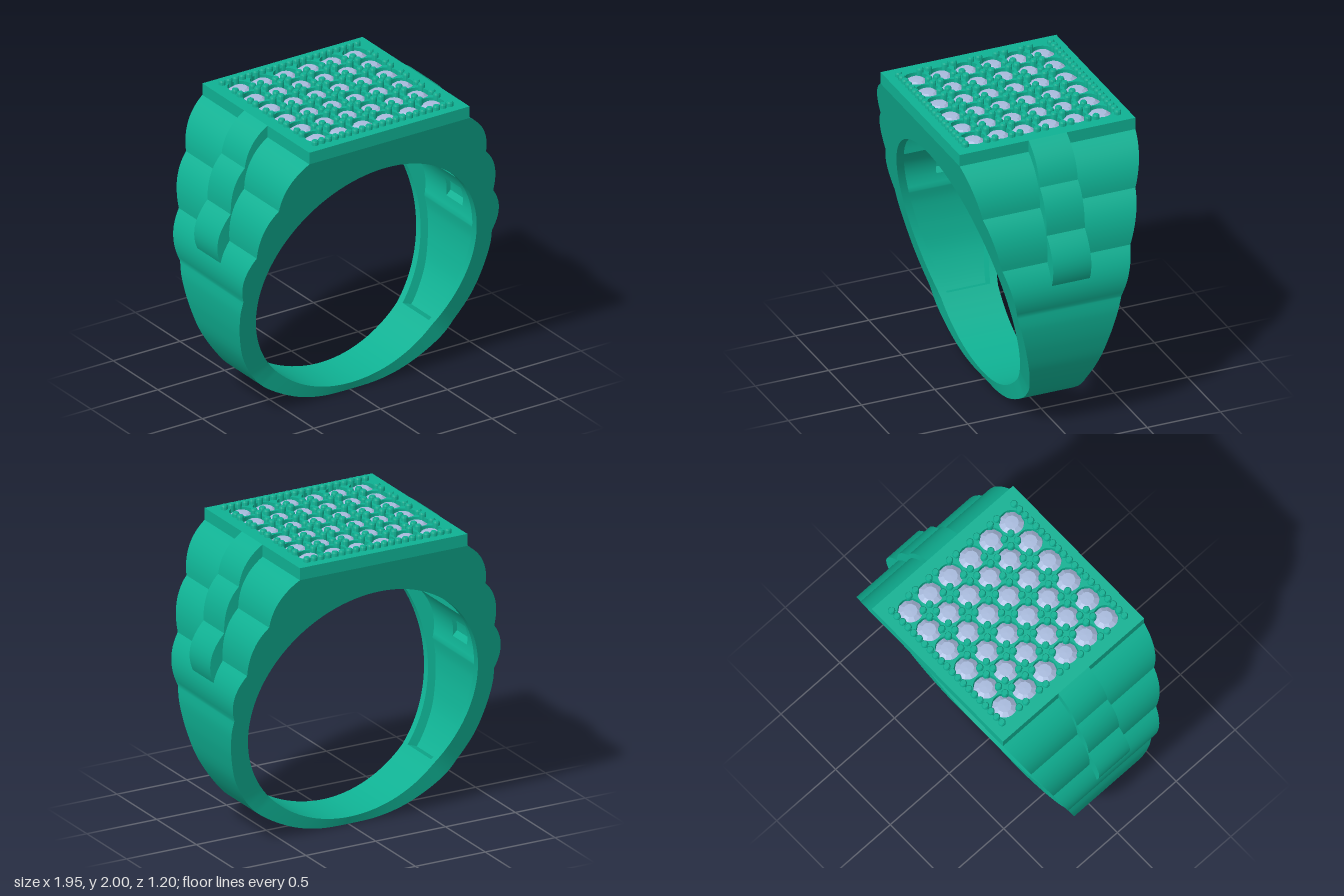
import * as THREE from 'three';
import { toCreasedNormals } from 'three/addons/utils/BufferGeometryUtils.js';

const V = (x, y) => new THREE.Vector2(x, y);
const CENTRE = V(0, 0.868), BORE = 0.815;
const metal = new THREE.MeshStandardMaterial({ color: 0x0fb193, side: THREE.DoubleSide });
const gemMat = new THREE.MeshStandardMaterial({ color: 0xa9bbdd, flatShading: true });

function add(parent, name, geometry, material, x = 0, y = 0, z = 0) {
  const mesh = new THREE.Mesh(geometry, material);
  mesh.name = name;
  mesh.position.set(x, y, z);
  parent.add(mesh);
  return mesh;
}

// chain of bulging arcs: each entry is [start, control, end]
const arcs = (list, n = 12) => list.flatMap(([a, c, b], i) =>
  new THREE.QuadraticBezierCurve(V(...a), V(...c), V(...b)).getPoints(n).slice(i ? 1 : 0));

const scaled = (p, k) => p.clone().sub(CENTRE).multiplyScalar(k).add(CENTRE);

// half width of the band at a given height
const halfDepth = y => y < 0.3
  ? 0.155 + 0.04 * Math.sqrt(Math.max(y, 0) / 0.3)
  : Math.min(0.6, 0.195 + (y - 0.3) * 0.2547);

// shoulder scallops, bottom to top
const shoulder = arcs([
  [[0.93, 0.93], [1.0, 1.1], [0.885, 1.25]],
  [[0.885, 1.25], [0.9, 1.46], [0.775, 1.58]],
  [[0.775, 1.58], [0.77, 1.78], [0.6, 1.89]],
]);

// outer outline, counter-clockwise from the bottom
function outline() {
  const shank = new THREE.SplineCurve([[0, 0], [0.2, 0.01], [0.4, 0.06], [0.6, 0.16], [0.73, 0.27],
    [0.85, 0.46], [0.91, 0.65], [0.935, 0.82], [0.93, 0.93]].map(p => V(...p))).getPoints(48);
  const half = [...shank, ...shoulder.slice(1)];
  for (let i = 1; i <= 12; i++) half.push(V(0.6 * (1 - i / 12), 1.89));
  const mirrored = half.slice(1, -1).reverse().map(p => V(-p.x, p.y));
  return [...half, ...mirrored];
}

// band: cross-sections swept round the bore, hollowed inside with small slots
function bandGeometry() {
  const slots = [1.08, 1.4, 1.7];
  const sections = outline().map(o => {
    const dir = o.clone().sub(CENTRE).normalize();
    const inner = dir.multiplyScalar(BORE).add(CENTRE);
    const hollow = o.y > 0.24;
    const floor = hollow ? scaled(o, 0.93) : inner;
    const slot = slots.some(y => Math.abs(o.y - y) < 0.05) ? scaled(o, 0.96) : floor;
    const ho = halfDepth(o.y), hi = halfDepth(inner.y);
    const wi = hi - 0.05, wf = hollow ? halfDepth(floor.y) - 0.05 : wi;
    return [[o, -ho], [o, ho], [inner, hi], [inner, wi], [floor, wf], [floor, 0.09], [slot, 0.09],
      [slot, -0.09], [floor, -0.09], [floor, -wf], [inner, -wi], [inner, -hi]];
  });
  const n = sections.length, m = sections[0].length, pos = [], index = [];
  sections.forEach((s, i) => s.forEach(([p, z], k) => {
    pos.push(p.x, p.y, z);
    const a = i * m + k, b = ((i + 1) % n) * m + k;
    const d = i * m + (k + 1) % m, c = ((i + 1) % n) * m + (k + 1) % m;
    index.push(a, b, c, a, c, d);
  }));
  const g = new THREE.BufferGeometry();
  g.setAttribute('position', new THREE.Float32BufferAttribute(pos, 3));
  g.setIndex(index);
  return toCreasedNormals(g, 0.45);
}

// raised central links on one shoulder
function linkGeometry() {
  const outer = arcs([
    [[0.945, 1.1], [1.03, 1.27], [0.875, 1.43]],
    [[0.875, 1.43], [0.88, 1.62], [0.77, 1.72]],
    [[0.77, 1.72], [0.75, 1.88], [0.6, 1.97]],
  ]);
  const inner = shoulder.filter(p => p.y > 1.1).reverse().map(p => scaled(p, 0.98));
  const g = new THREE.ExtrudeGeometry(new THREE.Shape([...outer, V(0.6, 1.89), ...inner]),
    { depth: 0.26, bevelEnabled: false });
  g.translate(0, 0, -0.13);
  return toCreasedNormals(g, 0.45);
}

export function createModel() {
  const ring = new THREE.Group();
  ring.name = 'ring';
  add(ring, 'band', bandGeometry(), metal);

  const link = linkGeometry();
  add(ring, 'leftLinks', link, metal);
  add(ring, 'rightLinks', link, metal).rotation.y = Math.PI;

  // square top plate pierced by the stone seats
  const grid = [-0.43, -0.26, -0.088, 0.088, 0.26, 0.43];
  const plate = new THREE.Shape([V(-0.6, -0.6), V(0.6, -0.6), V(0.6, 0.6), V(-0.6, 0.6)]);
  for (const x of grid) for (const z of grid)
    plate.holes.push(new THREE.Path().absarc(x, z, 0.08, 0, Math.PI * 2, true));
  const plateGeo = new THREE.ExtrudeGeometry(plate, { depth: 0.08, bevelEnabled: false, curveSegments: 16 });
  plateGeo.rotateX(-Math.PI / 2);
  add(ring, 'topPlate', toCreasedNormals(plateGeo, 0.5), metal, 0, 1.89, 0);

  // faceted stones, points reaching through to the hollow
  const stones = new THREE.Group();
  stones.name = 'stones';
  const stoneGeo = new THREE.LatheGeometry(
    [V(0, -0.14), V(0.079, 0), V(0.079, 0.008), V(0.045, 0.032), V(0, 0.034)], 10);
  for (const x of grid) for (const z of grid) add(stones, 'stone', stoneGeo, gemMat, x, 1.935, z);
  ring.add(stones);

  // bead prongs: full rows front and back, clusters between the stones
  const beads = new THREE.Group();
  beads.name = 'beads';
  const beadGeo = toCreasedNormals(new THREE.LatheGeometry(
    [V(0.023, 0), V(0.023, 0.06), V(0.017, 0.07), V(0, 0.07)], 10), 0.7);
  const bead = (x, z) => add(beads, 'bead', beadGeo, metal, x, 1.93, z);
  for (let i = 0; i <= 20; i++) for (const z of [-0.52, 0.52]) bead(-0.505 + i * 0.0505, z);
  const gaps = grid.slice(1).map((g, i) => (g + grid[i]) / 2);
  const columns = [-0.505, 0.505, ...gaps.flatMap(g => [g - 0.03, g + 0.03])];
  for (const g of gaps) for (const z of [g - 0.028, g + 0.028])
    for (const x of columns) bead(x, z);
  ring.add(beads);

  return ring;
}
